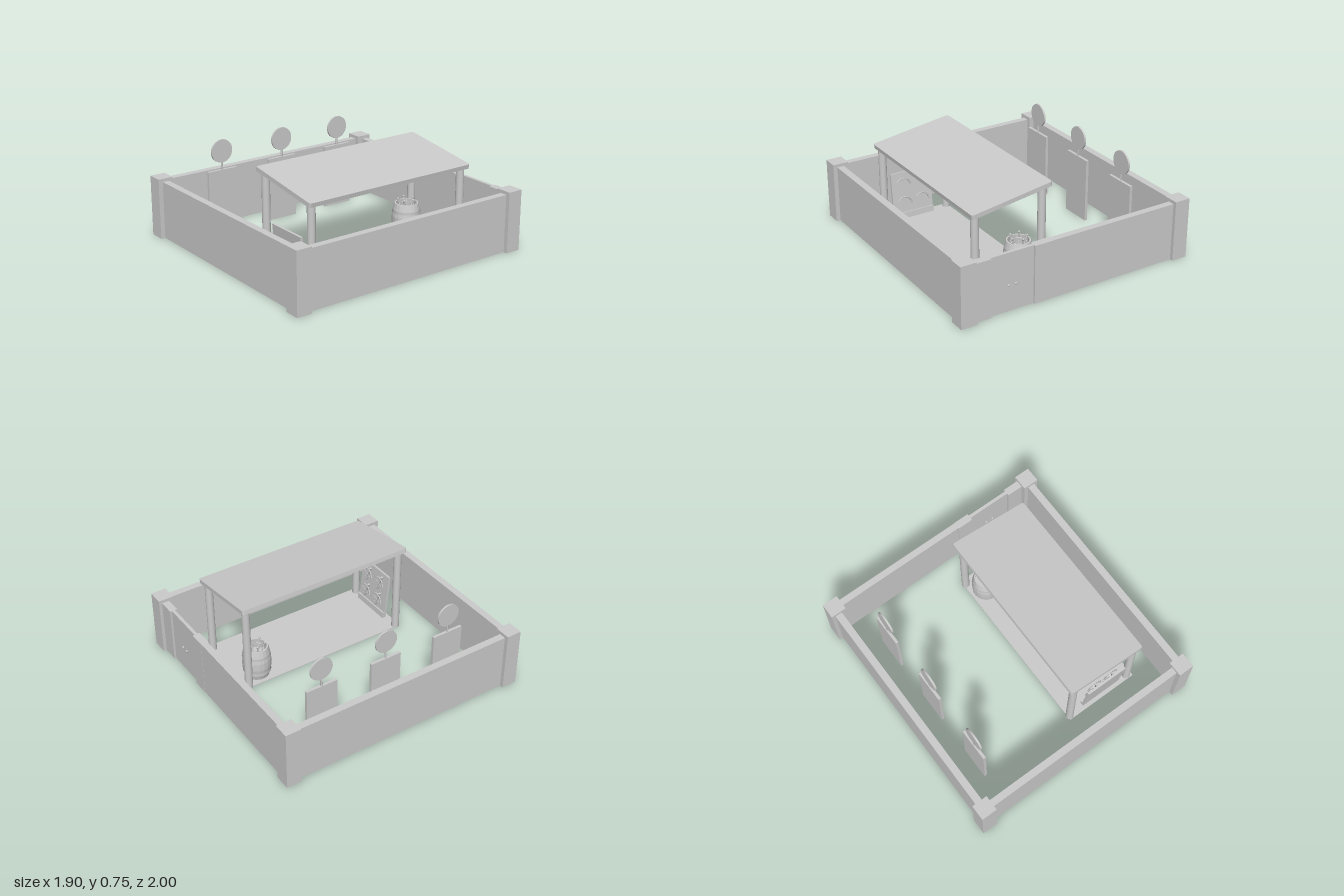
import * as THREE from 'three';

const material = new THREE.MeshStandardMaterial({ color: 0xcccccc });
const flat = new THREE.MeshStandardMaterial({ color: 0xcccccc, flatShading: true });

function add(parent, name, geometry, x = 0, y = 0, z = 0, mat = material) {
  const mesh = new THREE.Mesh(geometry, mat);
  mesh.name = name;
  mesh.position.set(x, y, z);
  parent.add(mesh);
  return mesh;
}

// Box given by its limits on each axis
function block(parent, name, x0, x1, y0, y1, z0, z1) {
  return add(parent, name, new THREE.BoxGeometry(x1 - x0, y1 - y0, z1 - z0),
    (x0 + x1) / 2, (y0 + y1) / 2, (z0 + z1) / 2);
}

function group(parent, name, x = 0, y = 0, z = 0) {
  const g = new THREE.Group();
  g.name = name;
  g.position.set(x, y, z);
  parent.add(g);
  return g;
}

function buildWalls(root) {
  const walls = group(root, 'walls');
  const h = 0.445;
  for (const sx of [-1, 1])
    for (const sz of [-1, 1])
      add(walls, 'cornerPost', new THREE.BoxGeometry(0.123, 0.47, 0.12), sx * 0.888, 0.235, sz * 0.94);
  block(walls, 'frontWall', -0.83, 0.83, 0, h, 0.912, 0.965);
  block(walls, 'rightWall', -0.92, -0.865, 0, h, -0.88, 0.88);
  block(walls, 'leftWall', 0.862, 0.917, 0, h, -0.88, 0.88);
  block(walls, 'backWall', -0.83, 0.23, 0, h, -0.973, -0.922);

  // Gate between two thicker jambs
  block(walls, 'gateJamb', 0.23, 0.355, 0, h, -0.975, -0.916);
  block(walls, 'gateJamb', 0.70, 0.83, 0, h, -0.975, -0.916);
  block(walls, 'gateLeaf', 0.355, 0.5275, 0, h, -0.96, -0.935);
  block(walls, 'gateLeaf', 0.5275, 0.70, 0, h, -0.96, -0.935);
  for (const x of [0.499, 0.556])
    for (const z of [-0.962, -0.933])
      add(walls, 'gateKnob', new THREE.SphereGeometry(0.009, 10, 8), x, 0.2, z);
}

function buildCanopy(root) {
  const canopy = group(root, 'canopy');
  block(canopy, 'floorMat', 0.085, 0.685, 0, 0.005, -0.715, 0.695);

  // Rounded roof slab, laid flat and tilted down towards +x
  const w = 0.325, d = 0.715, r = 0.018, s = new THREE.Shape();
  s.absarc(w - r, d - r, r, 0, Math.PI / 2);
  s.absarc(-w + r, d - r, r, Math.PI / 2, Math.PI);
  s.absarc(-w + r, -d + r, r, Math.PI, Math.PI * 1.5);
  s.absarc(w - r, -d + r, r, Math.PI * 1.5, Math.PI * 2);
  const slab = new THREE.ExtrudeGeometry(s, { depth: 0.033, bevelEnabled: false, curveSegments: 4 });
  slab.rotateX(-Math.PI / 2);
  const roof = add(canopy, 'roof', slab, 0.366, 0.665, -0.008);
  roof.rotation.z = -0.147;

  for (const [x, h] of [[0.102, 0.71], [0.643, 0.63]])
    for (const z of [-0.672, 0.662])
      add(canopy, 'roofPost', new THREE.CylinderGeometry(0.03, 0.03, h, 20), x, h / 2, z);
}

function buildTarget(root, z) {
  const target = group(root, 'target', -0.68, 0, z);
  block(target, 'targetBoard', -0.011, 0.011, 0, 0.5, -0.125, 0.125);
  add(target, 'targetStick', new THREE.CylinderGeometry(0.007, 0.007, 0.1, 10), 0, 0.54, 0);
  const disc = new THREE.CylinderGeometry(0.09, 0.09, 0.014, 32);
  disc.rotateZ(Math.PI / 2);
  add(target, 'targetDisc', disc, 0, 0.645, 0);
}

function buildBarrel(root) {
  const barrel = group(root, 'barrel', 0.205, 0, -0.54);
  const profile = [[0, 0.005], [0.09, 0.005], [0.104, 0.06], [0.11, 0.1], [0.11, 0.16], [0.104, 0.2],
    [0.09, 0.26], [0.078, 0.26], [0.085, 0.18], [0, 0.18]].map(p => new THREE.Vector2(...p));
  add(barrel, 'barrelBody', new THREE.LatheGeometry(profile, 20), 0, 0, 0, flat);
  for (const y of [0.06, 0.2])
    add(barrel, 'barrelHoop', new THREE.CylinderGeometry(0.107, 0.107, 0.022, 20, 1, true), 0, y, 0);

  // Sword hilts leaning on the rim
  for (let i = 0; i < 5; i++) {
    const turn = group(barrel, 'sword', 0, 0.18, 0);
    turn.rotation.y = i * Math.PI * 0.4 + 0.3;
    const lean = group(turn, 'hilt', 0.035, 0, 0);
    lean.rotation.z = -0.25;
    add(lean, 'grip', new THREE.CylinderGeometry(0.006, 0.006, 0.11, 8), 0, 0.055, 0);
    add(lean, 'guard', new THREE.BoxGeometry(0.01, 0.008, 0.045), 0, 0.07, 0);
    add(lean, 'pommel', new THREE.SphereGeometry(0.009, 8, 6), 0, 0.112, 0);
  }
}

function buildRack(root) {
  // Leaning board facing -z with four crossbows
  const rack = group(root, 'weaponRack', 0.4, 0, 0.645);
  rack.rotation.x = 0.1;
  block(rack, 'rackBoard', -0.17, 0.17, 0, 0.375, 0, 0.018);
  block(rack, 'rackLedge', -0.17, 0.17, 0.002, 0.05, -0.014, 0);
  for (const x of [-0.075, 0.075])
    for (const y of [0.135, 0.285]) {
      const bow = group(rack, 'crossbow', x, y, -0.012);
      bow.rotation.z = 0.35;
      add(bow, 'stock', new THREE.BoxGeometry(0.014, 0.125, 0.02));
      add(bow, 'butt', new THREE.BoxGeometry(0.024, 0.03, 0.02), 0, -0.05, 0);
      const limb = add(bow, 'limbs', new THREE.TorusGeometry(0.06, 0.006, 6, 16, Math.PI * 0.8), 0, -0.015, -0.008);
      limb.rotation.z = Math.PI * 0.1;
      add(bow, 'string', new THREE.BoxGeometry(0.114, 0.003, 0.003), 0, 0.004, -0.012);
    }
}

export function createModel() {
  const root = new THREE.Group();
  root.name = 'trainingYard';
  buildWalls(root);
  buildCanopy(root);
  for (const z of [-0.545, -0.008, 0.535]) buildTarget(root, z);
  buildBarrel(root);
  buildRack(root);
  return root;
}
